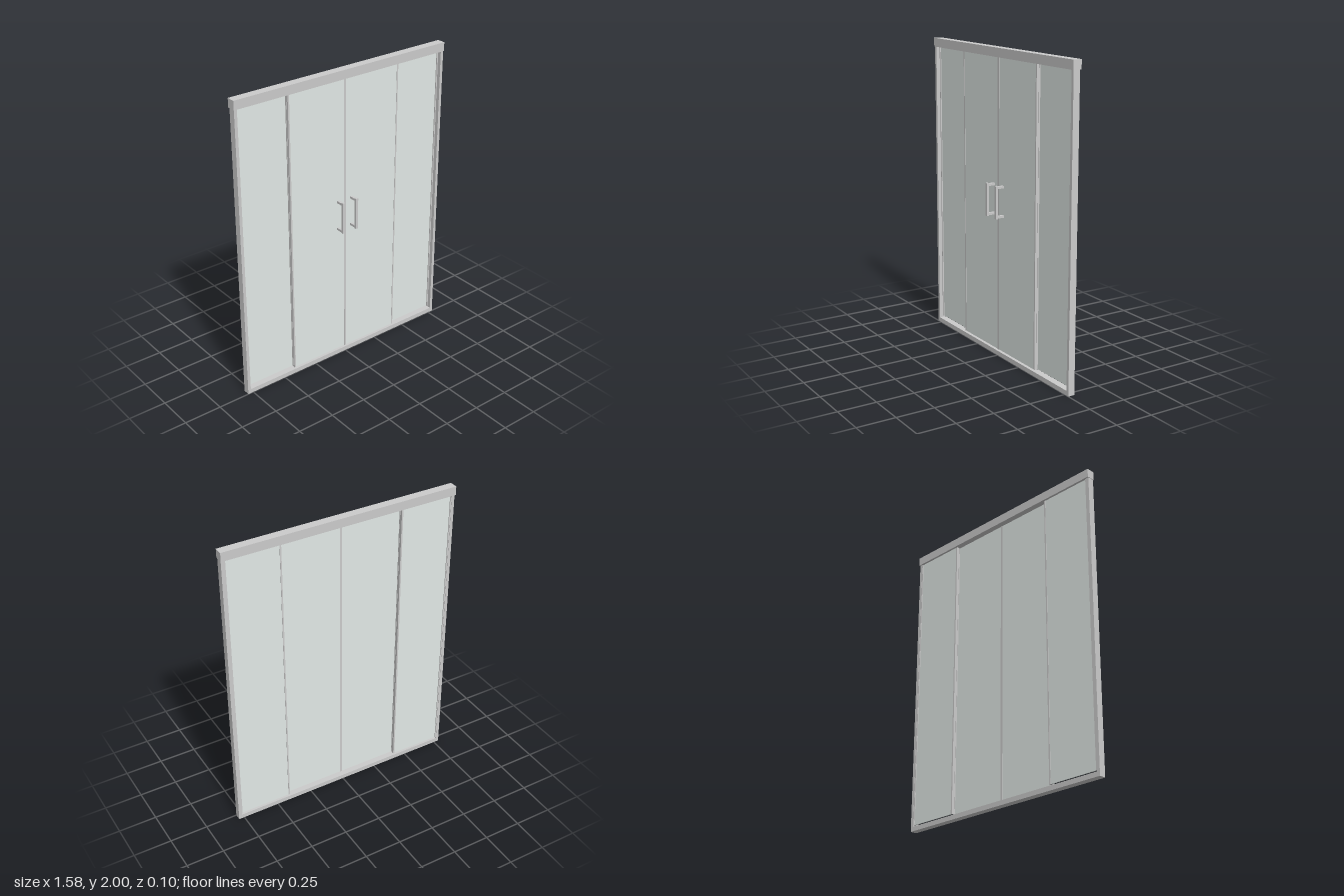
import * as THREE from 'three';

export function createModel() {
  const model = new THREE.Group();
  model.name = 'slidingShowerDoor';
  const metal = new THREE.MeshStandardMaterial({ color: 0xcccccc });
  const glass = new THREE.MeshStandardMaterial({ color: 0xe2e9e6 });

  // Box given by its extents along each axis
  function box(name, [x0, x1], [y0, y1], [z0, z1], material = metal, parent = model) {
    const mesh = new THREE.Mesh(new THREE.BoxGeometry(x1 - x0, y1 - y0, z1 - z0), material);
    mesh.position.set((x0 + x1) / 2, (y0 + y1) / 2, (z0 + z1) / 2);
    mesh.name = name;
    parent.add(mesh);
  }

  // Extents mirrored to the given side
  const mirror = (side, a, b) => (side > 0 ? [a, b] : [-b, -a]);

  // Outer frame
  box('headerRail', [-0.79, 0.79], [1.942, 2], [-0.052, 0.004]);
  box('bottomRail', [-0.787, 0.787], [0, 0.03], [-0.044, 0]);

  for (const side of [1, -1]) {
    const label = side > 0 ? 'left' : 'right';

    // Wall jamb with a narrower profile holding the fixed glass
    box(label + 'Jamb', mirror(side, 0.767, 0.787), [0.03, 1.942], [-0.044, 0]);
    box(label + 'WallProfile', mirror(side, 0.759, 0.767), [0.038, 1.942], [-0.042, -0.024]);

    // Fixed panel at the back
    const fixed = new THREE.Group();
    fixed.name = label + 'FixedPanel';
    model.add(fixed);
    box('fixedGlass', mirror(side, 0.412, 0.759), [0.04, 1.942], [-0.037, -0.031], glass, fixed);
    box('fixedEdgeSeal', mirror(side, 0.408, 0.418), [0.04, 1.942], [-0.04, -0.022], metal, fixed);

    // Sliding panel at the front
    const door = new THREE.Group();
    door.name = label + 'SlidingDoor';
    model.add(door);
    box('doorGlass', mirror(side, 0.006, 0.41), [0.04, 1.942], [-0.013, -0.007], glass, door);
    box('doorOuterSeal', mirror(side, 0.408, 0.418), [0.04, 1.942], [-0.02, -0.005], metal, door);
    box('doorMeetingSeal', mirror(side, 0, 0.007), [0.04, 1.942], [-0.016, -0.004], metal, door);

    // Pull handle: bar on two posts
    const handle = new THREE.Group();
    handle.name = label + 'Handle';
    door.add(handle);
    const hx = mirror(side, 0.044, 0.061);
    box('handleBar', hx, [0.936, 1.149], [0.037, 0.052], metal, handle);
    for (const y of [0.94, 1.13]) box('handlePost', hx, [y, y + 0.015], [-0.007, 0.037], metal, handle);
  }
  return model;
}
